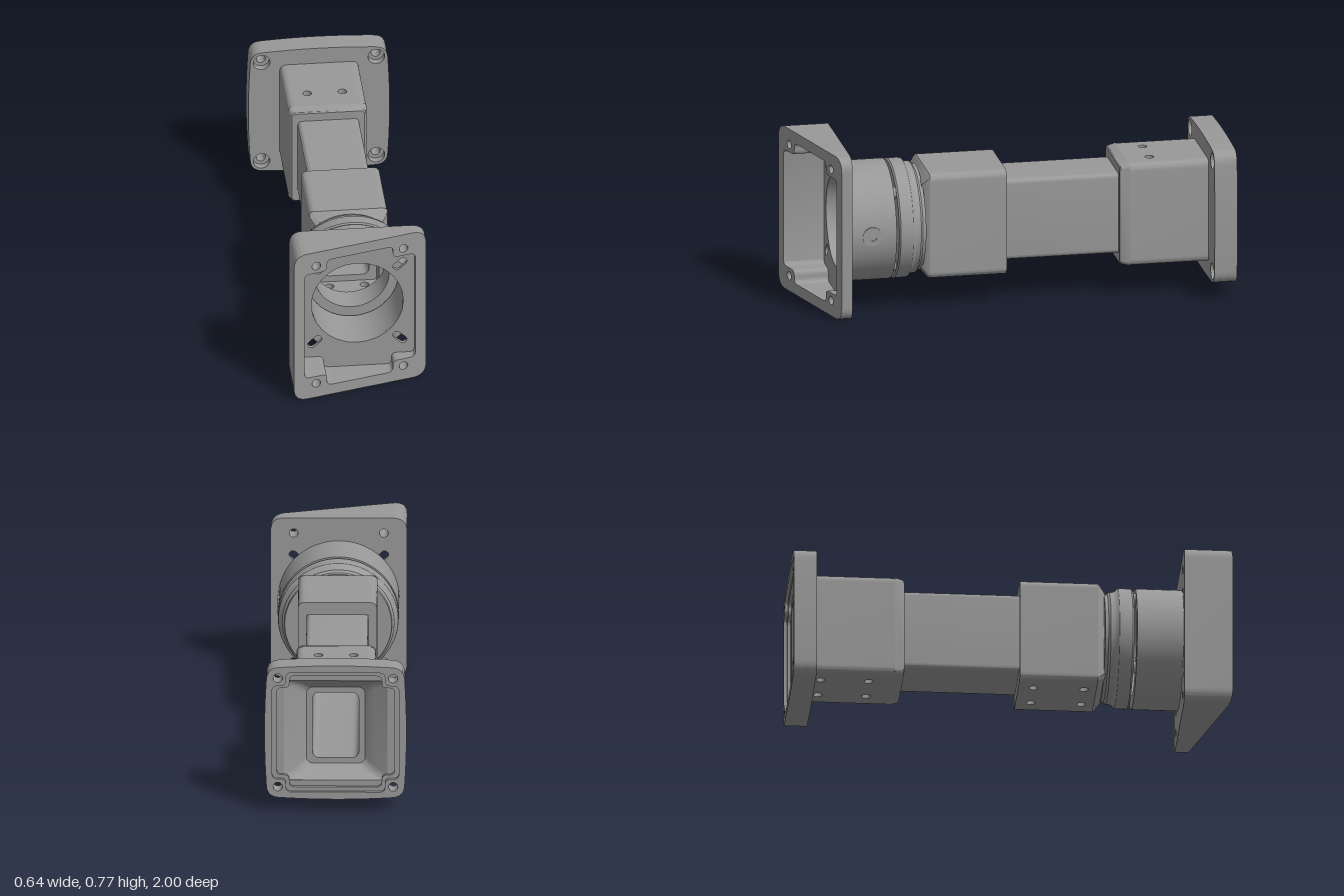
import * as THREE from 'three';
import { toCreasedNormals } from 'three/addons/utils/BufferGeometryUtils.js';

const grey = new THREE.MeshStandardMaterial({ color: 0x999999 });
grey.name = 'castGrey';
const SIGNS = [[1, 1], [-1, 1], [-1, -1], [1, -1]];

// Polygon with rounded corners; each point is [x, y, radius]
function roundPoly(pts, Type = THREE.Shape) {
  const s = new Type(), n = pts.length;
  pts.forEach((p, i) => {
    const [x, y, r = 0] = p;
    const toward = (q) => {
      const l = Math.hypot(q[0] - x, q[1] - y);
      return [x + (q[0] - x) * r / l, y + (q[1] - y) * r / l];
    };
    const a = toward(pts[(i + n - 1) % n]), b = toward(pts[(i + 1) % n]);
    if (i) s.lineTo(...a); else s.moveTo(...a);
    if (r) s.quadraticCurveTo(x, y, ...b);
  });
  s.closePath();
  return s;
}
const rect = (hx, hy, r, Type) => roundPoly(SIGNS.map(([a, b]) => [a * hx, b * hy, r]), Type);

// Rectangle with its four corners notched inward
function notched(ax, ay, bx, by, r) {
  return roundPoly([[ax, -ay], [ax, ay], [bx, ay], [bx, by], [-bx, by], [-bx, ay], [-ax, ay],
    [-ax, -ay], [-bx, -ay], [-bx, -by], [bx, -by], [bx, -ay]].map((p) => [...p, r]), THREE.Path);
}
const circle = (x, y, r) => new THREE.Path().absarc(x, y, r, 0, Math.PI * 2);
const corners = (x, y, r) => SIGNS.map(([a, b]) => circle(a * x, b * y, r));
function slot(x1, y1, x2, y2, r) {
  const t = Math.atan2(y2 - y1, x2 - x1), q = Math.PI / 2;
  return new THREE.Path().absarc(x2, y2, r, t - q, t + q).absarc(x1, y1, r, t + q, t + 3 * q);
}

function extrude(shape, holes, z0, z1) {
  shape.holes = holes;
  const g = new THREE.ExtrudeGeometry(shape, { depth: z1 - z0, bevelEnabled: false, curveSegments: 14 });
  return g.translate(0, 0, z0);
}

// Rounded rectangle ring at height z, optionally limited to a radius
function ring(hx, hy, r, z, limit = 9) {
  const out = [];
  SIGNS.forEach(([a, b], k) => {
    for (let i = 0; i <= 8; i++) {
      const t = (k + i / 8) * Math.PI / 2;
      const x = a * (hx - r) + r * Math.cos(t), y = b * (hy - r) + r * Math.sin(t);
      const f = Math.min(1, limit / Math.hypot(x, y));
      out.push([x * f, y * f, z]);
    }
  });
  return out;
}
function loft(rings) {
  const n = rings[0].length, idx = [];
  for (let k = 0; k < rings.length - 1; k++) {
    for (let i = 0; i < n; i++) {
      const j = (i + 1) % n, a = k * n + i, b = k * n + j;
      idx.push(a, b, b + n, a, b + n, a + n);
    }
  }
  const g = new THREE.BufferGeometry();
  g.setAttribute('position', new THREE.Float32BufferAttribute(rings.flat(2), 3));
  g.setIndex(idx);
  return g;
}
const lathe = (pts) => new THREE.LatheGeometry(pts.map((p) => new THREE.Vector2(...p)), 72).rotateX(Math.PI / 2);

export function createModel() {
  const model = new THREE.Group();
  model.name = 'mountingArm';
  const body = new THREE.Group();
  body.name = 'body';
  body.position.y = 0.385;
  model.add(body);
  function add(name, geo, parent = body) {
    const m = new THREE.Mesh(toCreasedNormals(geo, 0.55), grey);
    m.name = name;
    parent.add(m);
    return m;
  }

  // Wedge housing: straight extrusion whose front is slanted across x
  const wedge = extrude(rect(0.31, 0.385, 0.065),
    [notched(0.26, 0.275, 0.155, 0.333, 0.025), ...corners(0.205, 0.312, 0.02)], 0, 1);
  const p = wedge.attributes.position;
  for (let i = 0; i < p.count; i++) p.setZ(i, p.getZ(i) > 0.5 ? 0.915 - 0.274 * p.getX(i) : 0.8);
  add('wedgeHousing', wedge);
  add('housingFloor', extrude(rect(0.31, 0.385, 0.065), [circle(0, 0, 0.21),
    ...corners(0.205, 0.312, 0.02),
    ...SIGNS.map(([a, b]) => slot(a * 0.18, b * 0.182, a * 0.208, b * 0.208, 0.018))], 0.78, 0.8));

  // Round swivel collar and stepped ring, joined by four pins across the gap
  add('swivelCollar', lathe([[0.21, 0.568], [0.275, 0.568], [0.275, 0.785], [0.21, 0.785], [0.21, 0.568]]));
  add('steppedRing', lathe([[0.17, 0.425], [0.243, 0.425], [0.245, 0.44], [0.255, 0.45], [0.256, 0.466],
    [0.262, 0.478], [0.272, 0.488], [0.274, 0.5], [0.274, 0.548], [0.268, 0.555], [0.17, 0.555], [0.17, 0.425]]));
  SIGNS.forEach(([a, b]) => {
    const pin = new THREE.CylinderGeometry(0.027, 0.027, 0.08, 20).rotateX(Math.PI / 2);
    add('collarPin', pin.translate(a * 0.17, b * 0.17, 0.56));
  });
  const washer = extrude(new THREE.Shape().absarc(0, 0, 0.045, 0, Math.PI * 2), [circle(0, 0, 0.02)], 0, 0.01);
  add('sideScrew', washer.rotateY(Math.PI / 2).translate(0.267, 0, 0.68));

  // Rectangular inner tube
  add('innerTube', loft([ring(0.14, 0.19, 0.02, -0.9), ring(0.14, 0.19, 0.02, 0.3), ring(0.105, 0.157, 0.03, 0.3),
    ring(0.105, 0.157, 0.03, -0.9), ring(0.14, 0.19, 0.02, -0.9)]));

  // Sleeve: two C-shaped sides closed by drilled top and bottom plates
  const ix = 0.138, iy = 0.188, px = 0.12;
  function sleeve(name, hx, hy, z0, z1, topHoles, bottomHoles) {
    const g = new THREE.Group();
    g.name = name;
    body.add(g);
    for (const s of [1, -1]) {
      const side = roundPoly([[px, -hy], [hx, -hy, 0.035], [hx, hy, 0.035], [px, hy], [px, iy], [ix, iy], [ix, -iy], [px, -iy]]
        .map(([x, y, r]) => [s * x, y, r]));
      add('sleeveSide', extrude(side, [], z0, z1), g);
      const plate = roundPoly([[-px, z0], [px, z0], [px, z1], [-px, z1]]);
      const holes = (s > 0 ? topHoles : bottomHoles).flatMap((z) => [circle(0.08, z, 0.02), circle(-0.08, z, 0.02)]);
      const geo = extrude(plate, holes, 0, hy - iy).rotateX(Math.PI / 2).translate(0, s > 0 ? hy : -iy, 0);
      add(s > 0 ? 'sleeveTop' : 'sleeveBottom', geo, g);
    }
  }
  sleeve('frontSleeve', 0.18, 0.248, 0.04, 0.395, [], [0.11, 0.34]);
  sleeve('rearSleeve', 0.18, 0.243, -0.9, -0.53, [-0.64], [-0.64, -0.86]);

  // Sleeve ends: front corners cut by a cone, rear sleeve tapering to its mouth
  const inner = (z) => ring(ix, iy, 0.02, z);
  add('frontSleeveNose', loft([inner(0.395), ring(0.18, 0.248, 0.02, 0.395), ring(0.18, 0.248, 0.02, 0.41, 0.28),
    ring(0.18, 0.248, 0.02, 0.43, 0.25), inner(0.43), inner(0.395)]));
  add('rearSleeveMouth', loft([inner(-0.485), inner(-0.53), ring(0.18, 0.243, 0.02, -0.53),
    ring(0.171, 0.234, 0.02, -0.49), ring(0.166, 0.229, 0.02, -0.485), inner(-0.485)]));

  // Rear flange: stacked layers with bulged sides and a stepped recess
  const outline = () => new THREE.Shape(rect(0.31, 0.31, 0.05).getSpacedPoints(140).slice(0, -1).map((q) => new THREE.Vector2(
    q.x * (1 + 0.04 * (1 - (q.y / 0.31) ** 2)), q.y * (1 + 0.04 * (1 - (q.x / 0.31) ** 2)))));
  const flange = new THREE.Group();
  flange.name = 'rearFlange';
  body.add(flange);
  [
    ['flangeRim', -1, -0.985, notched(0.288, 0.225, 0.225, 0.288, 0.025), 0.021],
    ['flangeStep', -0.985, -0.97, notched(0.268, 0.21, 0.21, 0.268, 0.025), 0.021],
    ['flangePlate', -0.97, -0.93, rect(0.235, 0.24, 0.03, THREE.Path), 0.021],
    ['flangeFront', -0.93, -0.895, rect(0.176, 0.232, 0.03, THREE.Path), 0.038],
  ].forEach(([name, z0, z1, hole, r]) =>
    add(name, extrude(outline(), [hole, ...corners(0.262, 0.262, r)], z0, z1), flange));

  // Funnel leading from the recess into the tube
  add('funnel', loft([ring(0.105, 0.157, 0.03, -0.86), ring(0.135, 0.185, 0.03, -0.902), ring(0.176, 0.215, 0.03, -0.93),
    ring(0.236, 0.241, 0.03, -0.97)].reverse().map((r) => r.slice().reverse()), flange), flange);
  return model;
}
